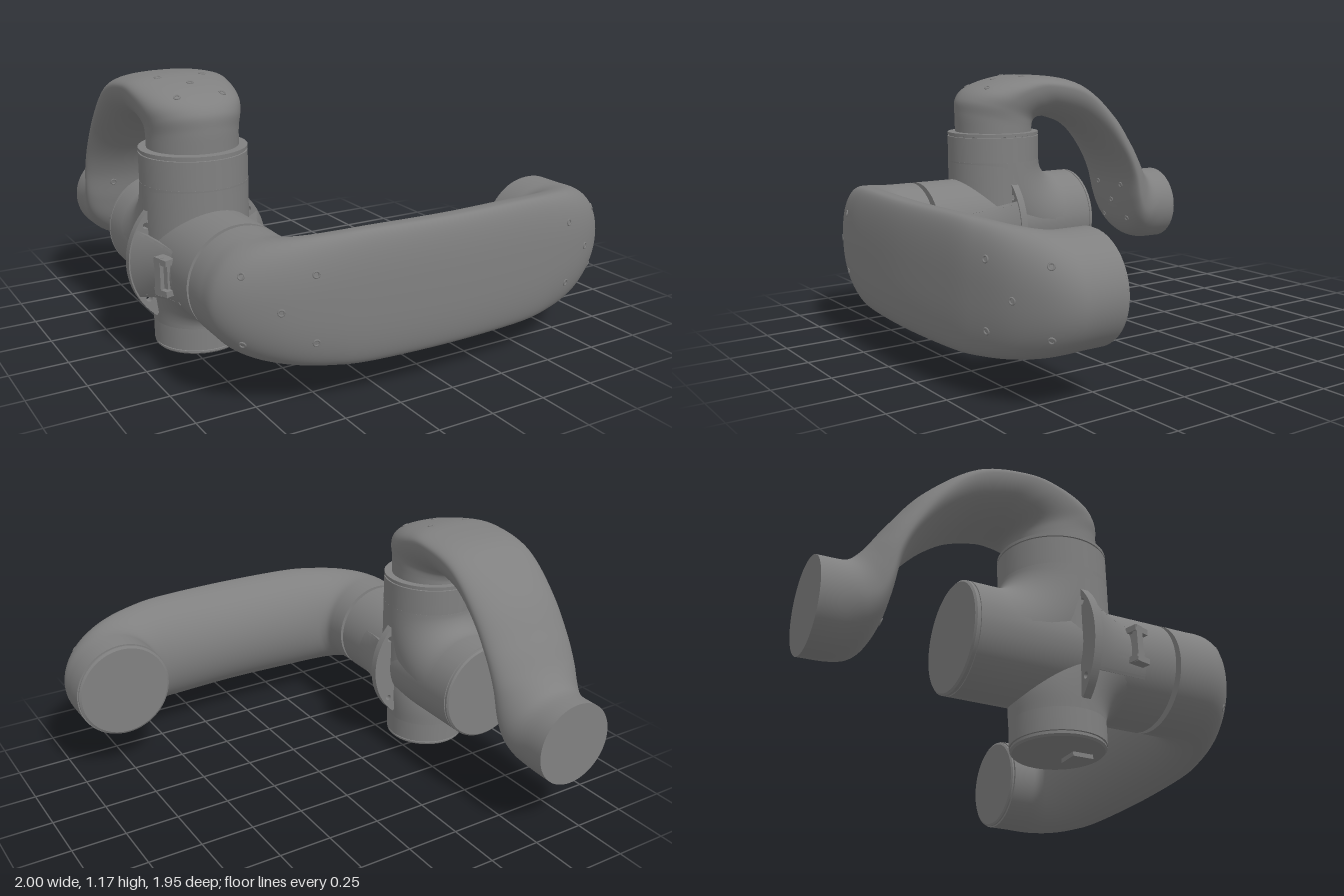
import * as THREE from 'three';
import { toCreasedNormals } from 'three/addons/utils/BufferGeometryUtils.js';

const X0 = -0.683; // axis of the joint housing
const Y0 = 0.425;  // height of the horizontal axis
const Z0 = 0.07;   // depth of the vertical axis

// Lofted solid. Rows: [innerA, innerB, halfWidth, outerA, outerB, crown].
// crown is where the section is widest: 0.5 is round, towards 0 or 1 one side goes flat.
function loft(rows, place, steps = 72, sides = 48) {
  const inner = new THREE.CatmullRomCurve3(rows.map(r => new THREE.Vector3(r[0], r[1], r[2])), false, 'catmullrom', 0.5);
  const outer = new THREE.CatmullRomCurve3(rows.map(r => new THREE.Vector3(r[3], r[4], r[5])), false, 'catmullrom', 0.5);
  const pos = [], idx = [];
  const pow = (v, e) => Math.sign(v) * Math.abs(v) ** e;
  for (let i = 0; i <= steps; i++) {
    const p = inner.getPoint(i / steps), q = outer.getPoint(i / steps), c = q.z;
    for (let j = 0; j < sides; j++) {
      const t = j / sides * Math.PI * 2, co = Math.cos(t), si = Math.sin(t);
      const flat = (co > 0) === (c > 0.5);
      const e = flat ? 1 - 0.8 * Math.abs(c - 0.5) : 1;
      const u = c + (co > 0 ? 1 - c : c) * pow(co, e);
      pos.push(...place(p.x + (q.x - p.x) * u, p.y + (q.y - p.y) * u, p.z * pow(si, e)));
    }
  }
  for (let i = 0; i < steps; i++) for (let j = 0; j < sides; j++) {
    const k = (j + 1) % sides, a = i * sides + j, b = i * sides + k;
    idx.push(a, b, a + sides, b, b + sides, a + sides);
  }
  // end caps with their own corners, so the rims stay sharp
  for (const [ring, flip] of [[0, true], [steps, false]]) {
    const base = pos.length / 3;
    pos.push(...pos.slice(ring * sides * 3, (ring + 1) * sides * 3));
    for (let j = 1; j < sides - 1; j++)
      idx.push(base, base + (flip ? j + 1 : j), base + (flip ? j : j + 1));
  }
  // turn the faces outward
  const v = i => new THREE.Vector3(pos[i * 3], pos[i * 3 + 1], pos[i * 3 + 2]);
  let volume = 0;
  for (let i = 0; i < idx.length; i += 3) volume += v(idx[i]).dot(v(idx[i + 1]).cross(v(idx[i + 2])));
  if (volume < 0) idx.reverse();
  const g = new THREE.BufferGeometry();
  g.setAttribute('position', new THREE.Float32BufferAttribute(pos, 3));
  g.setIndex(idx);
  g.computeVertexNormals();
  return g;
}

// Turned part from [radius, height] pairs
const turn = (pts, segs = 64, start = 0, length = Math.PI * 2) => toCreasedNormals(
  new THREE.LatheGeometry(pts.map(p => new THREE.Vector2(...p)), segs, start, length), 0.5);

// Rows of a pipe bend in the (z, y) plane whose radius changes along the way
function bendRows(cz, cy, side, up, R0, R1, r0, r1) {
  const rows = [];
  for (let i = 0; i <= 8; i++) {
    const k = i / 8, a = k * Math.PI / 2, R = R0 + (R1 - R0) * k, r = r0 + (r1 - r0) * k;
    const dz = side * Math.cos(a), dy = up * Math.sin(a);
    rows.push([cz + (R - r) * dz, cy + (R - r) * dy, r, cz + (R + r) * dz, cy + (R + r) * dy, 0.5]);
  }
  return rows;
}

export function createModel() {
  const model = new THREE.Group();
  model.name = 'robotArmSection';
  const grey = new THREE.MeshStandardMaterial({ color: 0x808080 });
  grey.name = 'grey';
  const add = (name, geometry, x = 0, y = 0, z = 0, parent = model) => {
    const m = new THREE.Mesh(geometry, grey);
    m.name = name;
    m.position.set(x, y, z);
    parent.add(m);
    return m;
  };
  const sideways = (a, b, w) => [X0 + w, b, a];

  // Joint housing: horizontal and vertical barrels
  add('horizontalBarrel', turn([[0, -0.392], [0.222, -0.392], [0.23, -0.385], [0.23, -0.374], [0.226, -0.373],
    [0.226, -0.369], [0.23, -0.368], [0.23, 0.5], [0, 0.5]]).rotateX(Math.PI / 2), X0, Y0, 0);
  add('upperBarrel', turn([[0, Y0], [0.228, Y0], [0.228, 0.866], [0.222, 0.867], [0.222, 0.872],
    [0.228, 0.873], [0.228, 0.886], [0.19, 0.887], [0, 0.887]]), X0, 0, Z0);
  add('lowerBarrel', turn([[0, 0.018], [0.182, 0.018], [0.19, 0.026], [0.19, 0.034], [0.186, 0.035],
    [0.186, 0.039], [0.193, 0.04], [0.193, Y0], [0, Y0]]), X0, 0, Z0);
  add('rearFillet', loft(bendRows(-0.25, 0.745, 1, -1, 0.32, 0.32, 0.2285, 0.2295), sideways, 24, 64));
  add('frontFillet', loft(bendRows(0.32, 0.135, -1, 1, 0.25, 0.29, 0.193, 0.2295), sideways, 24, 64));

  // Square plug under the housing
  add('bottomPlug', new THREE.BoxGeometry(0.09, 0.03, 0.09), X0, 0.015, 0.155);

  // Flared half collars on both sides of the housing
  const reach = 0.87, flareReach = 0.49;
  for (const side of [1, -1]) {
    const collar = new THREE.Group();
    collar.name = side > 0 ? 'leftCollar' : 'rightCollar';
    collar.position.set(X0, Y0 - 0.01, 0);
    collar.rotation.z = side > 0 ? 0 : Math.PI;
    model.add(collar);
    const plate = new THREE.Shape();
    plate.absarc(0, 0, 0.317, -reach, reach, false);
    plate.absarc(0, 0, 0.2, reach, -reach, true);
    for (const s of [1, -1]) {
      const hole = new THREE.Path();
      hole.absarc(0.284 * Math.cos(0.6), s * 0.284 * Math.sin(0.6), 0.014, 0, Math.PI * 2, true);
      plate.holes.push(hole);
    }
    add('collarFlange', new THREE.ExtrudeGeometry(plate, { depth: 0.035, bevelEnabled: false, curveSegments: 32 }),
      0, 0, 0.067, collar);
    const flare = [[0.312, 0.1], [0.288, 0.14], [0.265, 0.19], [0.246, 0.25], [0.235, 0.31], [0.228, 0.36]];
    add('collarFlare', turn(flare, 24, Math.PI / 2 - flareReach, flareReach * 2).rotateX(Math.PI / 2), 0, 0, 0, collar);
    const gusset = new THREE.Shape([[0.2, 0.1], ...flare, [0.2, 0.36]].map(p => new THREE.Vector2(...p)));
    for (const s of [1, -1]) {
      const g = new THREE.ExtrudeGeometry(gusset, { depth: 0.012, bevelEnabled: false });
      g.translate(0, 0, s > 0 ? 0 : -0.012).rotateX(Math.PI / 2).rotateZ(s * flareReach);
      add('collarGusset', g, 0, 0, 0, collar);
    }
  }

  // Latch on the right side
  const latch = new THREE.Group();
  latch.name = 'latch';
  latch.position.set(-0.925, Y0, 0.31);
  latch.rotation.y = 0.3;
  model.add(latch);
  add('latchBase', new THREE.BoxGeometry(0.035, 0.1, 0.05), 0.01, 0, 0, latch);
  add('latchPad', new THREE.BoxGeometry(0.022, 0.16, 0.035), -0.015, 0, -0.015, latch);
  for (const s of [1, -1]) add('latchEar', new THREE.BoxGeometry(0.05, 0.025, 0.075), 0, s * 0.065, 0, latch);

  // Front link: a wide U lying flat, symmetrical about its middle
  const mid = 0.04;
  const half = [
    [0.495, 0.523, 0.23, 0.955, 0.523, 0.5], [0.495, 0.6, 0.23, 0.955, 0.63, 0.5],
    [0.49, 0.645, 0.232, 0.945, 0.725, 0.52], [0.465, 0.668, 0.24, 0.875, 0.81, 0.58],
    [0.43, 0.675, 0.251, 0.74, 0.885, 0.66], [0.38, 0.678, 0.262, 0.57, 0.931, 0.73],
    [0.29, 0.681, 0.27, 0.38, 0.955, 0.78]];
  const linkRows = [...half.map(r => [-r[0], r[1], r[2], -r[3], r[4], r[5]]),
    [0, 0.686, 0.27, 0, 0.971, 0.8], ...half.slice().reverse()];
  const frontLink = add('frontLink', loft(linkRows, (a, b, w) => [a + mid, Y0 + w, b], 112, 64));
  add('frontLinkEndCap', turn([[0, -0.012], [0.215, -0.012], [0.225, -0.006], [0.225, 0.002], [0.2, 0.004],
    [0.2, 0.02], [0, 0.02]]).rotateX(Math.PI / 2), 0.765, Y0, 0.517);

  // Rear link: rises from the vertical barrel and swoops down to the back
  const rearRows = [
    [-0.125, 0.885, 0.193, 0.26, 0.885, 0.5], [-0.125, 0.905, 0.194, 0.262, 0.98, 0.5],
    [-0.135, 0.93, 0.2, 0.253, 1.05, 0.55], [-0.155, 0.945, 0.212, 0.19, 1.106, 0.62],
    [-0.19, 0.95, 0.222, 0.05, 1.149, 0.7], [-0.25, 0.945, 0.227, -0.12, 1.165, 0.75],
    [-0.38, 0.9, 0.228, -0.36, 1.128, 0.68], [-0.5, 0.82, 0.228, -0.57, 0.985, 0.5],
    [-0.6, 0.715, 0.228, -0.7, 0.82, 0.38], [-0.66, 0.6, 0.226, -0.775, 0.707, 0.32],
    [-0.69, 0.46, 0.221, -0.82, 0.655, 0.3], [-0.72, 0.35, 0.212, -0.85, 0.632, 0.35],
    [-0.77, 0.277, 0.203, -0.877, 0.623, 0.43], [-0.85, 0.242, 0.195, -0.915, 0.62, 0.5],
    [-0.98, 0.235, 0.193, -0.98, 0.62, 0.5]];
  const rearLink = add('rearLink', loft(rearRows, sideways, 112, 64));

  // Screw sockets set onto the surface of a link
  const ray = new THREE.Raycaster();
  const socket = (link, from, dir) => {
    ray.set(new THREE.Vector3(...from), new THREE.Vector3(...dir));
    const hit = ray.intersectObject(link)[0];
    if (!hit) return;
    const ring = add('screwSocket', new THREE.TorusGeometry(0.012, 0.004, 6, 16), ...hit.point.toArray());
    ring.quaternion.setFromUnitVectors(new THREE.Vector3(0, 0, 1), hit.face.normal);
  };
  for (const s of [1, -1]) {
    for (const [x, y] of [[0.86, 0.135], [0.615, 0.135], [0.86, -0.135], [0.615, -0.135], [0.745, 0]])
      socket(frontLink, [mid + s * x, Y0 + y, 2], [0, 0, -1]);
    for (const z of [-0.04, 0.16]) socket(rearLink, [X0 + s * 0.1, 2, z], [0, -1, 0]);
    for (const y of [0.37, 0.56]) socket(rearLink, [X0 + s * 0.1, y, -0.45], [0, 0, -1]);
  }
  socket(rearLink, [X0, 2, 0.065], [0, -1, 0]);
  socket(rearLink, [X0, 0.465, -0.45], [0, 0, -1]);

  return model;
}
